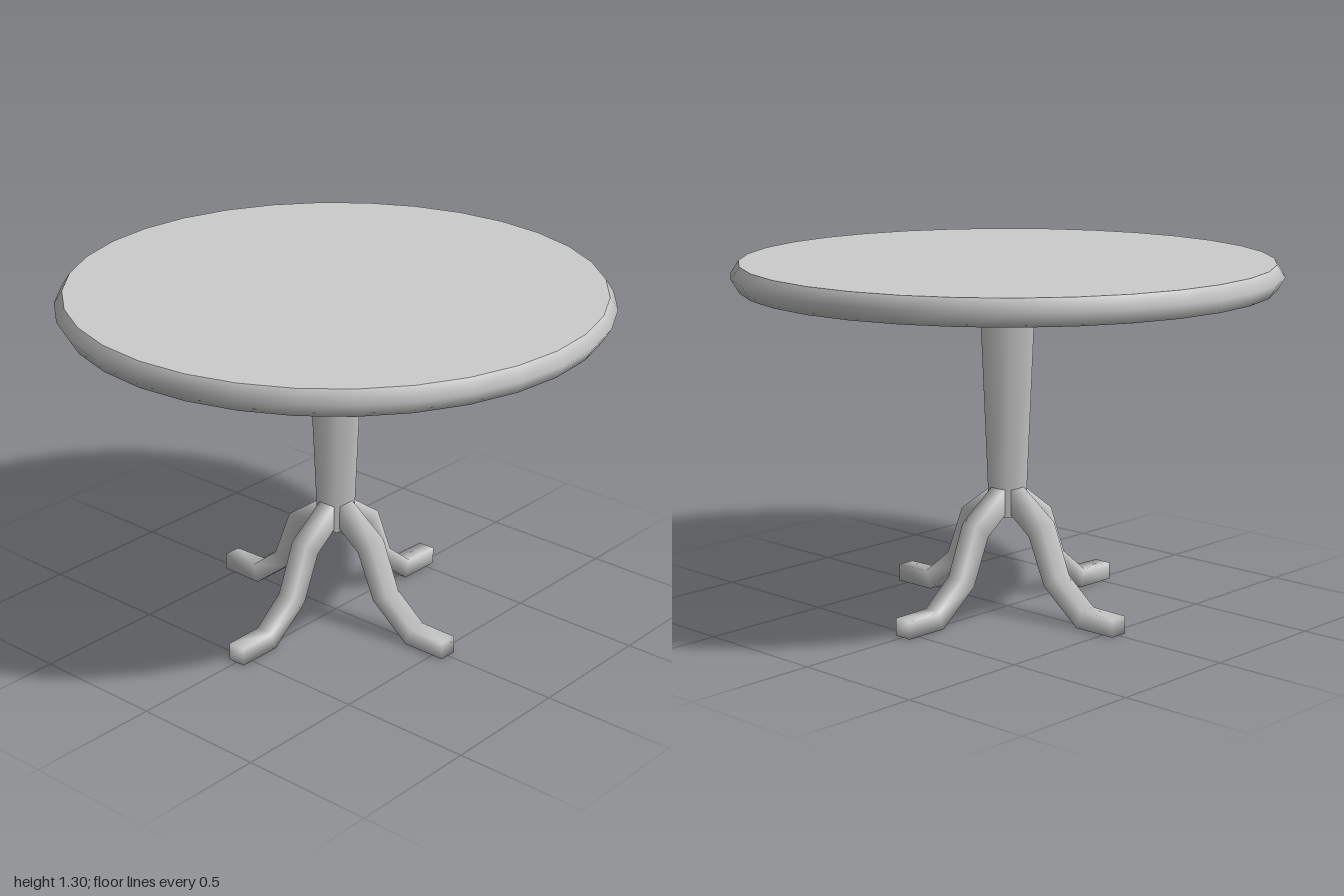
import * as THREE from 'three';

const material = new THREE.MeshStandardMaterial({ color: 0xcccccc });

function addMesh(parent, name, geometry) {
  const mesh = new THREE.Mesh(geometry, material);
  mesh.name = name;
  parent.add(mesh);
  return mesh;
}

// Smooth skin through closed rings; each ring runs anticlockwise seen from the end side.
function loft(rings, capStart, capEnd) {
  const n = rings[0].length;
  const index = [];
  for (let j = 0; j < rings.length - 1; j++) {
    for (let i = 0; i < n; i++) {
      const a = j * n + i, b = j * n + (i + 1) % n;
      index.push(a, b, b + n, a, b + n, a + n);
    }
  }
  const cap = (base, flip) => {
    const tri = (a, b, c) => index.push(base + a, base + (flip ? c : b), base + (flip ? b : c));
    for (let lo = 0, hi = n - 1; hi - lo > 1; hi--) {
      tri(lo, lo + 1, hi);
      lo++;
      if (hi - lo > 1) tri(lo, hi - 1, hi);
    }
  };
  if (capStart) cap(0, true);
  if (capEnd) cap((rings.length - 1) * n, false);
  const geometry = new THREE.BufferGeometry();
  geometry.setAttribute('position', new THREE.Float32BufferAttribute(rings.flat(2), 3));
  geometry.setIndex(index);
  geometry.computeVertexNormals();
  return geometry;
}

function circleRing(radius, y, sides) {
  return Array.from({ length: sides }, (_, i) => {
    const a = (i / sides) * Math.PI * 2;
    return [radius * Math.sin(a), y, radius * Math.cos(a)];
  });
}

export function createModel() {
  const table = new THREE.Group();
  table.name = 'pedestalTable';

  // Round top: bevelled rim with underside, and a flat surface
  const sides = 32;
  const rim = [[0.97, 1.21], [1, 1.26], [0.97, 1.305]].map(([r, y]) => circleRing(r, y, sides));
  const top = new THREE.Group();
  top.name = 'tabletop';
  table.add(top);
  addMesh(top, 'rimAndUnderside', loft(rim, true, false));
  addMesh(top, 'topSurface', new THREE.CircleGeometry(0.97, sides).rotateX(-Math.PI / 2).translate(0, 1.305, 0));

  // Square column, tapering downwards
  const column = new THREE.CylinderGeometry(0.073 * Math.SQRT2, 0.048 * Math.SQRT2, 0.86, 4, 1, false, Math.PI / 4);
  addMesh(table, 'column', column.translate(0, 0.785, 0));

  // Four curved square-section legs; stations are [upper z, upper y, lower z, lower y]
  const stations = [
    [0.05, 0.46, 0.05, 0.365],
    [0.203, 0.35, 0.14, 0.298],
    [0.277, 0.164, 0.215, 0.125],
    [0.396, 0.068, 0.374, 0],
    [0.545, 0.065, 0.545, 0],
  ];
  const w = 0.035;
  const legGeometry = loft(
    stations.map(([uz, uy, lz, ly]) => [[w, ly, lz], [w, uy, uz], [-w, uy, uz], [-w, ly, lz]]),
    true, true
  );
  ['frontLeg', 'leftLeg', 'backLeg', 'rightLeg'].forEach((name, i) => {
    addMesh(table, name, legGeometry).rotation.y = (i * Math.PI) / 2;
  });

  return table;
}
